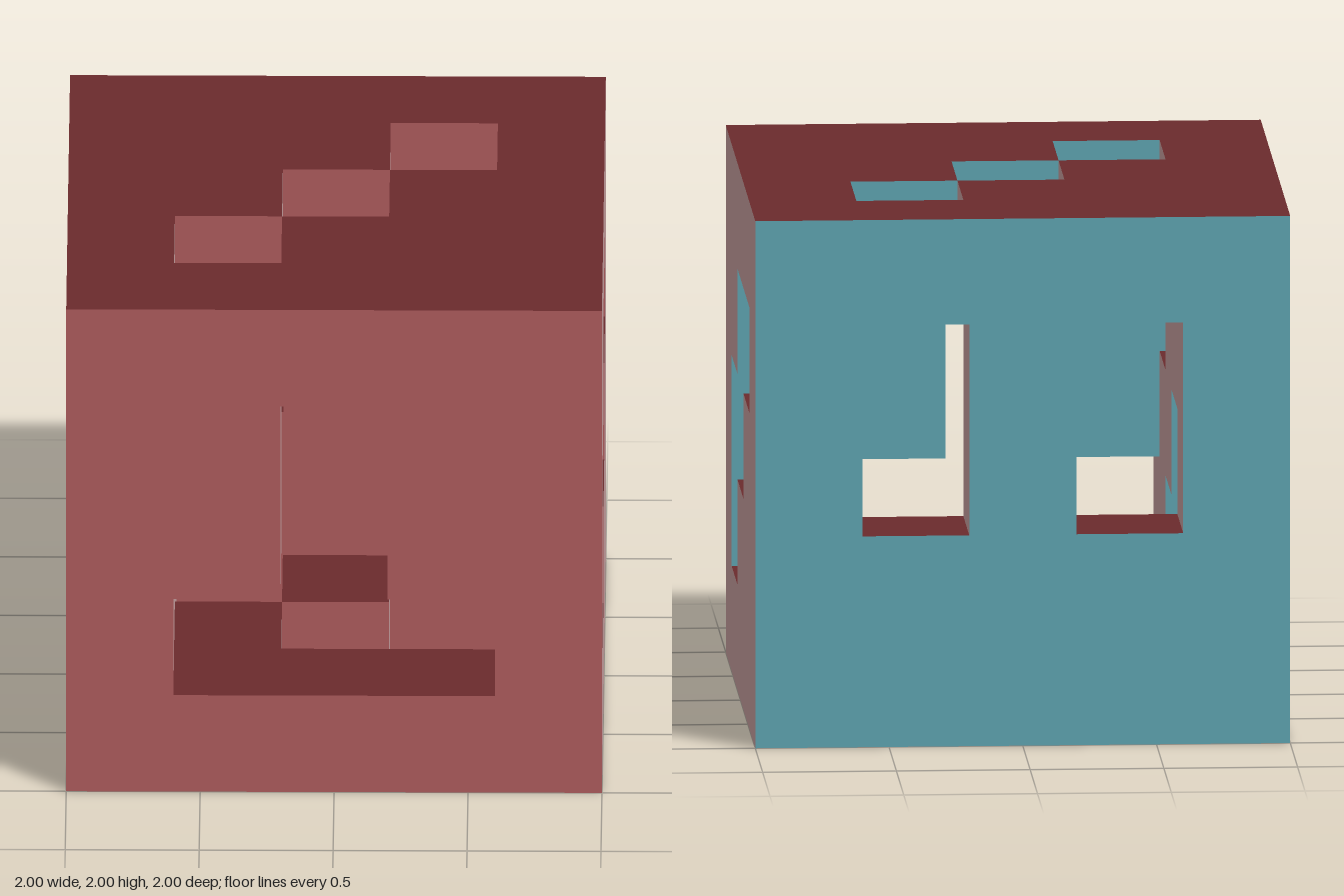
import * as THREE from 'three';
import { mergeGeometries } from 'three/addons/utils/BufferGeometryUtils.js';

const N = 5;          // cells along each side
const S = 2 / N;      // cell size

// Window patterns through one wall of each pair; the opposite wall has the inverse.
// Front and left rows run bottom to top, top rows run back to front.
const FRONT = ['111', '010', '010'];   // columns: x rising
const LEFT = ['001', '011', '110'];    // columns: z rising
const TOP = ['001', '010', '100'];     // columns: x rising

const inner = (i) => i > 0 && i < N - 1;
const cut = (pattern, row, col) => pattern[row - 1][col - 1] === '1';

// Is the cell filled? The block is a hollow shell, one cell thick, with windows.
function solid(x, y, z) {
  if ([x, y, z].some((i) => i < 0 || i >= N)) return false;
  const ix = inner(x), iy = inner(y), iz = inner(z);
  if (ix && iy && iz) return false;
  if (ix && iy) return cut(FRONT, y, x) !== (z === N - 1);
  if (iy && iz) return cut(LEFT, y, z) !== (x === N - 1);
  if (ix && iz) return cut(TOP, z, x) !== (y === N - 1);
  return true;
}

// Every exposed cell side that points one way
function facesToward(dir) {
  const turn = new THREE.Quaternion().setFromUnitVectors(new THREE.Vector3(0, 0, 1), dir);
  const side = new THREE.PlaneGeometry(S, S).translate(0, 0, S / 2).applyQuaternion(turn);
  const faces = [];
  for (let x = 0; x < N; x++) {
    for (let y = 0; y < N; y++) {
      for (let z = 0; z < N; z++) {
        if (!solid(x, y, z) || solid(x + dir.x, y + dir.y, z + dir.z)) continue;
        faces.push(side.clone().translate((x + 0.5) * S - 1, (y + 0.5) * S, (z + 0.5) * S - 1));
      }
    }
  }
  return mergeGeometries(faces);
}

export function createModel() {
  const cube = new THREE.Group();
  cube.name = 'windowedCube';

  // One colour per facing: reds for the positive axes, teals for the negative ones
  const sides = [
    ['leftFaces', [1, 0, 0], 0xc79f9f],
    ['rightFaces', [-1, 0, 0], 0x9fc1c7],
    ['topFaces', [0, 1, 0], 0x6b2b2d],
    ['bottomFaces', [0, -1, 0], 0x2b606b],
    ['frontFaces', [0, 0, 1], 0xb35f60],
    ['backFaces', [0, 0, -1], 0x5fa6b3],
  ];
  for (const [name, dir, color] of sides) {
    const mesh = new THREE.Mesh(
      facesToward(new THREE.Vector3(...dir)),
      new THREE.MeshStandardMaterial({ color })
    );
    mesh.name = name;
    cube.add(mesh);
  }
  return cube;
}
